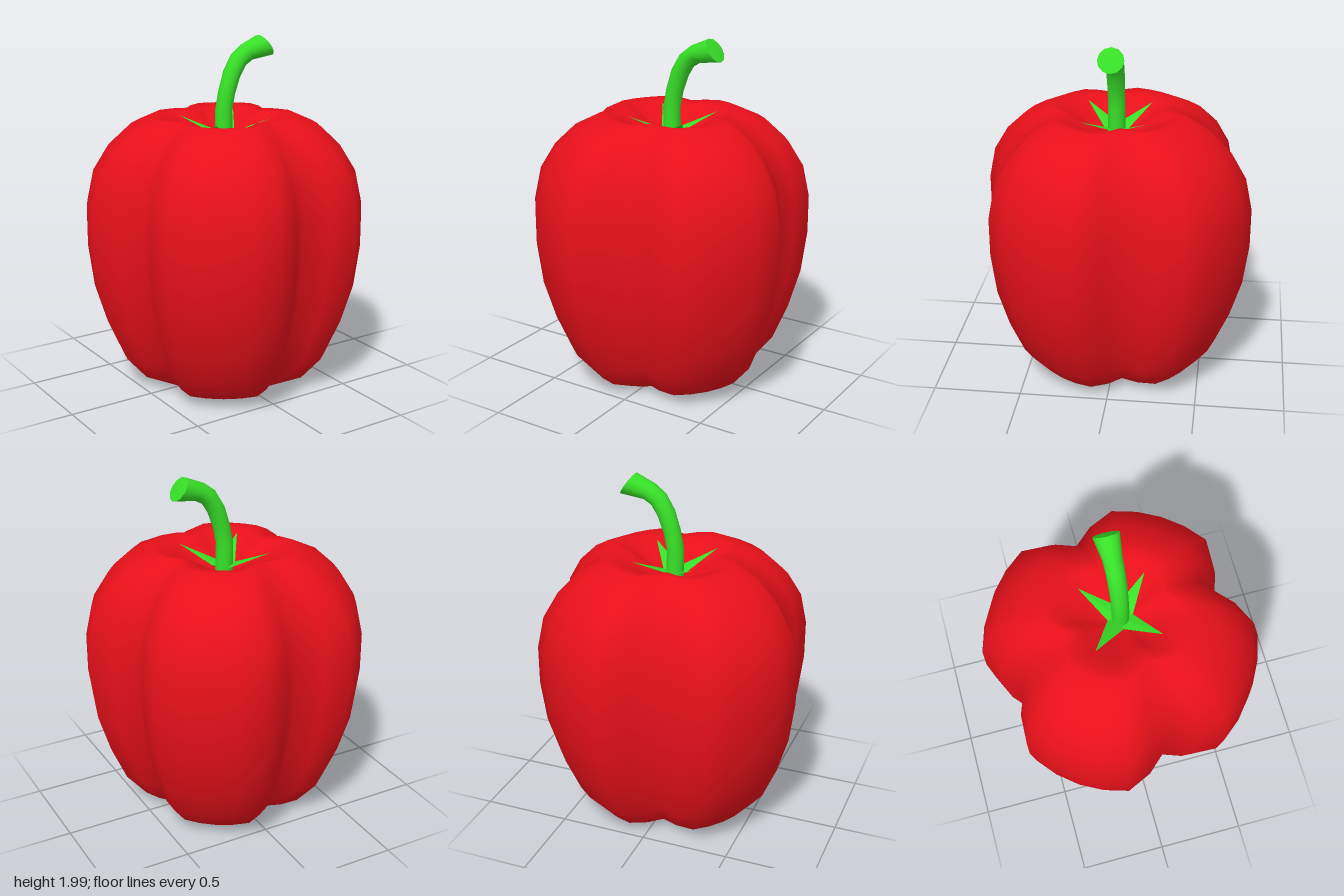
import * as THREE from 'three';
import { mergeVertices } from 'three/addons/utils/BufferGeometryUtils.js';

// Skin a stack of closed rings (each an array of [x, y, z]) with smooth normals
function loft(rings) {
  const n = rings[0].length;
  const index = [];
  for (let i = 0; i < rings.length - 1; i++) {
    for (let j = 0; j < n; j++) {
      const k = (j + 1) % n;
      const a = i * n + j, b = i * n + k, c = b + n, d = a + n;
      index.push(a, b, c, a, c, d);
    }
  }
  const g = new THREE.BufferGeometry();
  g.setAttribute('position', new THREE.Float32BufferAttribute(rings.flat(2), 3));
  g.setIndex(index);
  const merged = mergeVertices(g);
  merged.computeVertexNormals();
  return merged;
}

function mesh(name, geometry, material) {
  const m = new THREE.Mesh(geometry, material);
  m.name = name;
  return m;
}

export function createModel() {
  const red = new THREE.MeshStandardMaterial({ color: 0xe8101a });
  const green = new THREE.MeshStandardMaterial({ color: 0x38e028 });
  const leaf = new THREE.MeshStandardMaterial({ color: 0x38e028, side: THREE.DoubleSide, flatShading: true });
  const group = new THREE.Group();
  group.name = 'pepper';

  // Body: four lobes, eight points per lobe, starting at a groove
  const lobe = [0.60, 0.695, 0.78, 0.78, 0.78, 0.78, 0.78, 0.695];
  // [scale of the lobed section, height], from bottom hollow to top hollow
  const profile = [
    [0, 0.12], [0.14, 0.1], [0.3, 0.04], [0.45, 0.01], [0.62, 0.07], [0.765, 0.2],
    [0.875, 0.4], [0.96, 0.62], [1, 0.86], [1, 1.08], [0.95, 1.26], [0.84, 1.4],
    [0.69, 1.51], [0.51, 1.575], [0.42, 1.565], [0.33, 1.53], [0.15, 1.46], [0, 1.43],
  ];
  const bodyRings = profile.map(([s, y]) => Array.from({ length: 32 }, (_, j) => {
    const t = (j + 1) * Math.PI / 16;
    const r = s * lobe[j % 8];
    return [r * Math.cos(t), y, -r * Math.sin(t)];
  }));
  group.add(mesh('body', loft(bodyRings), red));

  // Stem: curved and flared, ring data is [x, y, radius, axis angle in degrees]
  const stemRing = ([x, y, r, deg]) => Array.from({ length: 12 }, (_, j) => {
    const t = j * Math.PI / 6, a = THREE.MathUtils.degToRad(deg);
    const u = r * Math.cos(t);
    return [x + u * Math.sin(a), y - u * Math.cos(a), -r * Math.sin(t)];
  });
  const end = [0.272, 1.945, 0.072, 34];
  const stemPath = [
    [0, 1.42, 0.05, 90], [-0.003, 1.6, 0.048, 86], [0.017, 1.7, 0.048, 77],
    [0.05, 1.8, 0.05, 67], [0.095, 1.875, 0.051, 50], [0.15, 1.913, 0.053, 32], end,
  ];
  group.add(mesh('stem', loft(stemPath.map(stemRing)), green));
  group.add(mesh('stemEnd', loft([stemRing(end), stemRing([0.278, 1.949, 0, 34])]), green));

  // Calyx: four-pointed star with raised tips
  const calyxRings = [[], []];
  for (let j = 0; j < 8; j++) {
    const t = j * Math.PI / 4, tip = j % 2 === 1;
    const r = tip ? 0.26 : 0.07;
    calyxRings[0].push([r * Math.cos(t), tip ? 1.565 : 1.475, -r * Math.sin(t)]);
    calyxRings[1].push([0, 1.46, 0]);
  }
  group.add(mesh('calyx', loft(calyxRings), leaf));

  return group;
}
